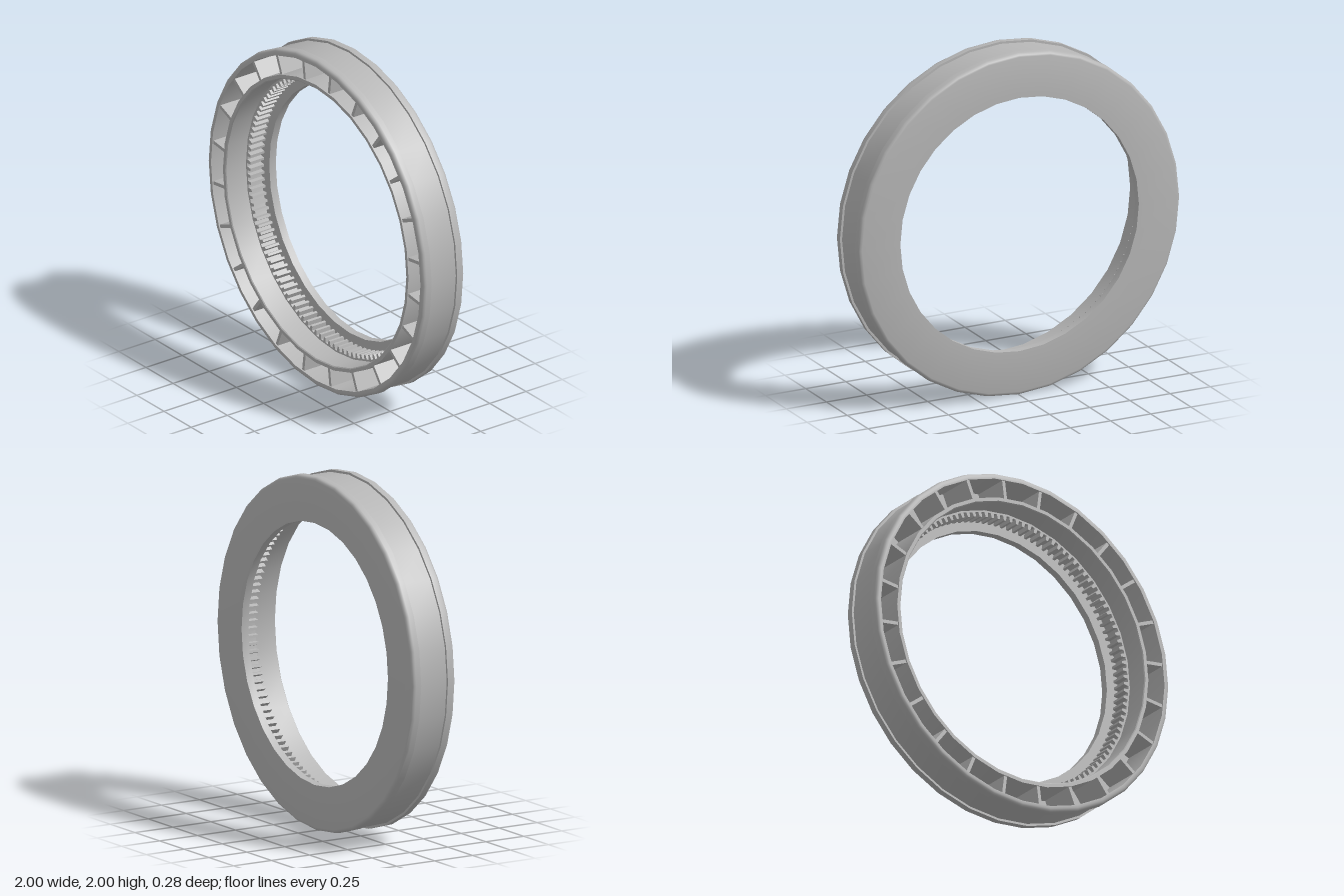
import * as THREE from 'three';
import { mergeGeometries, toCreasedNormals } from 'three/addons/utils/BufferGeometryUtils.js';

const SEGMENTS = 32, RIBS = 24, TEETH = 120;

export function createModel() {
  const grey = new THREE.MeshStandardMaterial({ color: 0xb6b6b6 });
  grey.name = 'plainGrey';

  const model = new THREE.Group();
  model.name = 'gearRing';
  const ring = new THREE.Group();
  ring.name = 'ring';
  ring.position.y = 1;
  model.add(ring);

  const add = (name, geometry) => {
    const mesh = new THREE.Mesh(geometry, grey);
    mesh.name = name;
    ring.add(mesh);
  };

  // Merge copies of a part spread evenly about the z axis
  const around = (geometry, count, offset) => {
    const copies = [];
    for (let i = 0; i < count; i++) {
      copies.push(geometry.clone().rotateZ((i + offset) / count * Math.PI * 2));
    }
    return mergeGeometries(copies);
  };

  // Ring body: closed (radius, z) section, counter-clockwise from the bore's back edge
  const section = [
    [0.742, -0.14],
    // back flange with rounded edge
    [0.98, -0.14], [0.99, -0.137], [0.997, -0.13], [1, -0.12], [1, -0.088],
    // groove around the outside
    [0.987, -0.088], [0.987, 0.088],
    // front flange with rounded edge
    [1, 0.088], [1, 0.12], [0.997, 0.13], [0.99, 0.137], [0.98, 0.14],
    // pocket open to the front
    [0.965, 0.14], [0.965, -0.09], [0.855, -0.09], [0.855, 0.14],
    // inner wall, toothed seat and back lip
    [0.835, 0.14], [0.83, 0.135], [0.83, 0], [0.82, 0], [0.82, -0.095], [0.742, -0.095],
    [0.742, -0.14],
  ].map(([r, z]) => new THREE.Vector2(r, z));
  const body = new THREE.LatheGeometry(section, SEGMENTS).rotateX(Math.PI / 2);
  // The quarter turn sends the lathe's +y to +z
  add('ringBody', toCreasedNormals(body, 0.62));

  // Radial ribs bridging the pocket
  const rib = new THREE.BoxGeometry(0.118, 0.02, 0.225).translate(0.909, 0, 0.02);
  add('pocketRibs', around(rib, RIBS, 0.5));

  // Tapered inner gear teeth
  const toothShape = new THREE.Shape([
    [0.79, -0.007], [0.824, -0.013], [0.824, 0.013], [0.79, 0.007],
  ].map(([x, y]) => new THREE.Vector2(x, y)));
  const tooth = new THREE.ExtrudeGeometry(toothShape, { depth: 0.098, bevelEnabled: false });
  tooth.translate(0, 0, -0.098);
  add('innerTeeth', around(tooth, TEETH, 0.5));

  return model;
}
